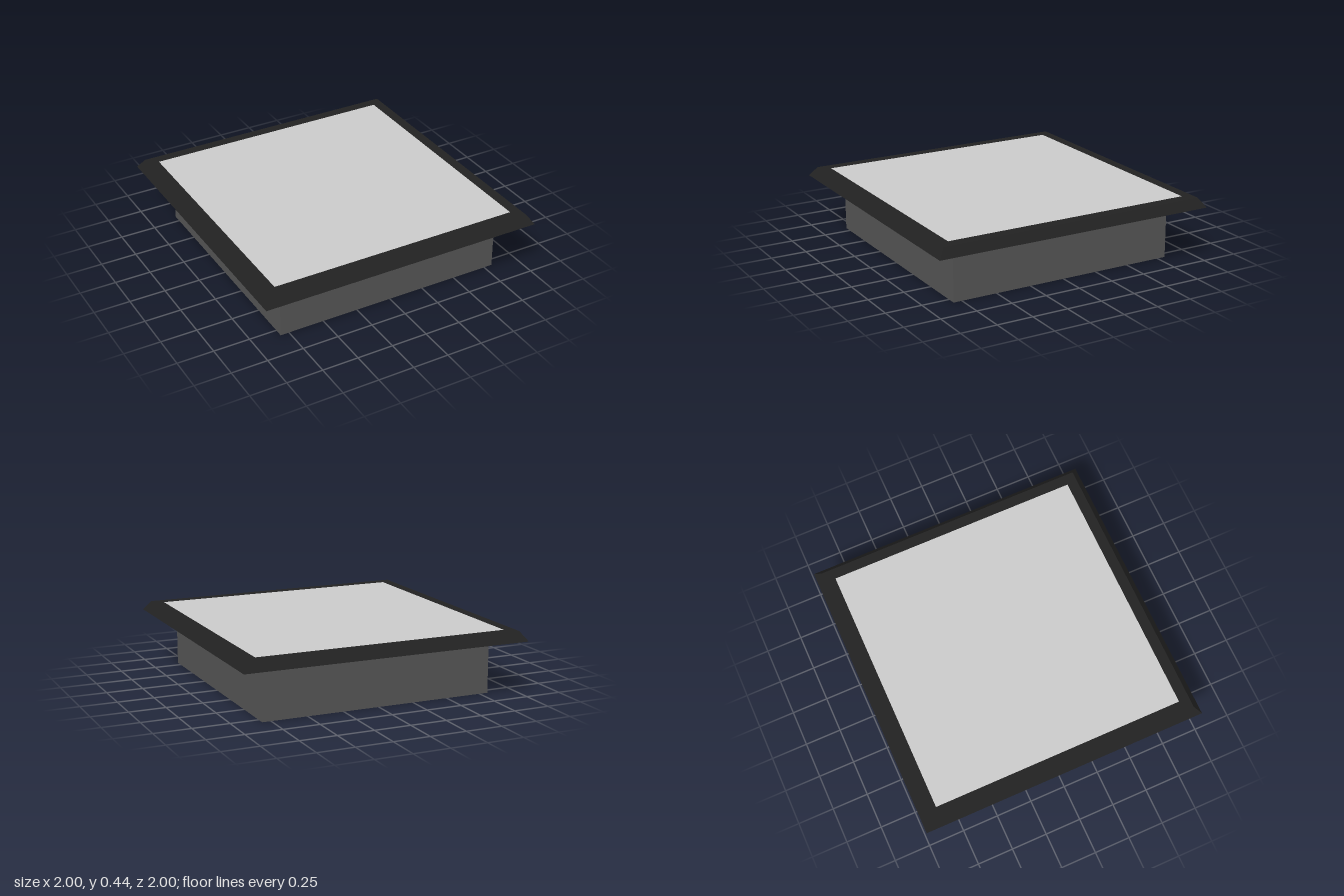
import * as THREE from 'three';

const RIM_Y = 0.375, TOP_Y = 0.44;

function part(name, geometry, color) {
  const material = new THREE.MeshStandardMaterial({ flatShading: true });
  material.color.set(color);
  const mesh = new THREE.Mesh(geometry, material);
  mesh.name = name;
  return mesh;
}

// Square ring swept from a profile of [half width, height] points
function squareSweep(profile) {
  const points = profile.map(([half, y]) => new THREE.Vector2(half * Math.SQRT2, y));
  const geometry = new THREE.LatheGeometry(points, 4, Math.PI / 4).toNonIndexed();
  geometry.computeVertexNormals();
  return geometry;
}

// Square block between two heights
function block(half, bottom, top) {
  return new THREE.BoxGeometry(half * 2, top - bottom, half * 2)
    .translate(0, (bottom + top) / 2, 0);
}

export function createModel() {
  const group = new THREE.Group();
  group.name = 'recessedPanelLight';

  // Box-shaped body below the rim
  group.add(part('housing', block(0.81, 0, RIM_Y), 0x555555));

  // Bevelled overhanging rim with a square opening
  group.add(part('bevelledFrame', squareSweep([
    [0.8, RIM_Y], [1, RIM_Y], [0.953, TOP_Y], [0.88, TOP_Y],
  ]), 0x222222));

  // Flat panel flush with the top of the frame
  group.add(part('panel', block(0.88, RIM_Y + 0.01, TOP_Y), 0xcccccc));

  return group;
}
